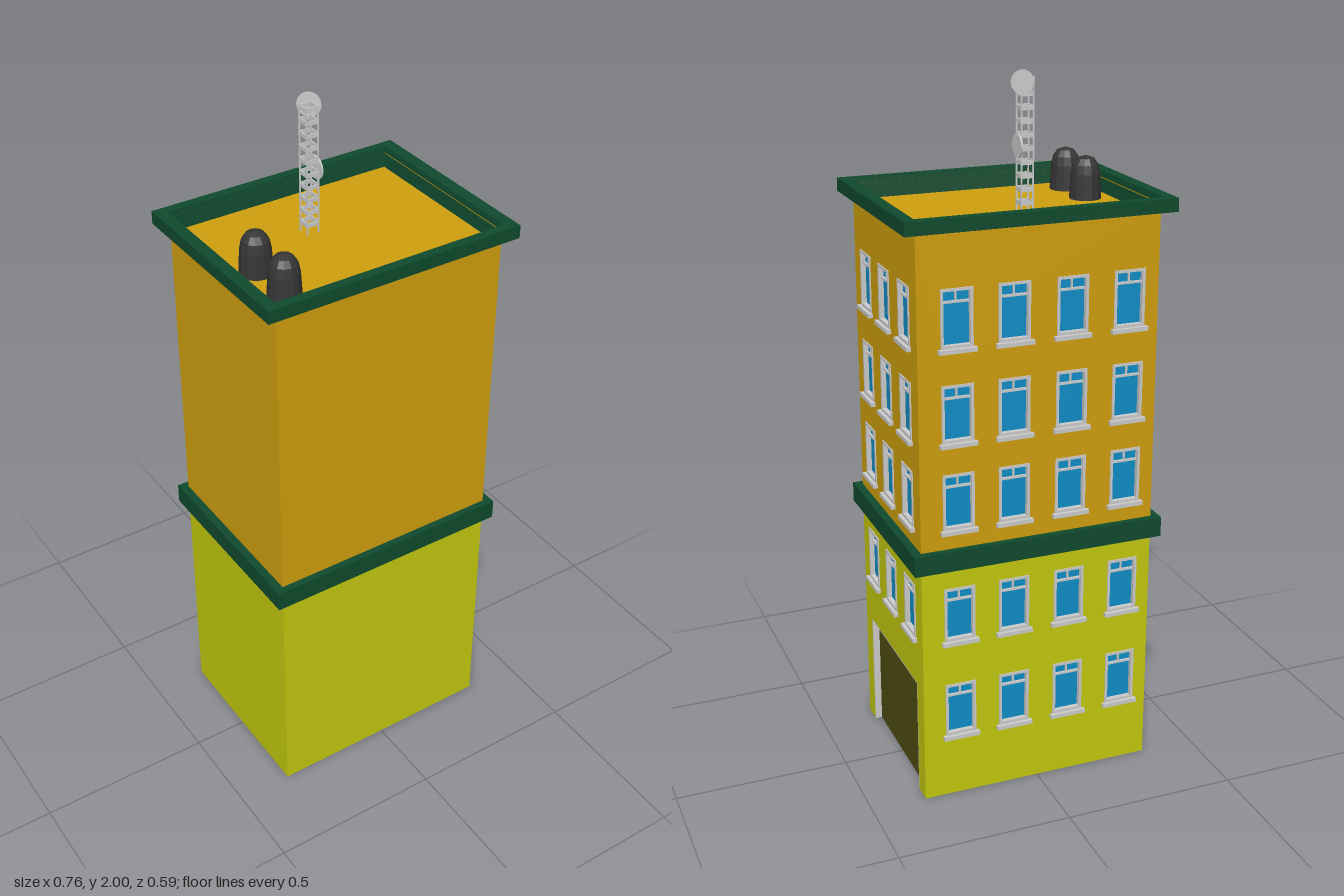
import * as THREE from 'three';

const mat = (color, flatShading = false) =>
  new THREE.MeshStandardMaterial({ color, flatShading, side: THREE.DoubleSide });
const M = {
  grey: mat(0xcccccc), lime: mat(0xc2c80e), orange: mat(0xcf9f0e), green: mat(0x104a2e),
  glass: mat(0x108ec6), door: mat(0x4e4c10), dark: mat(0x363636, true),
};
const HX = 0.342, HZ = 0.264;            // half width and depth of the walls
const FLOOR2 = 0.735, ROOF = 1.62;

function add(parent, name, geometry, material, x = 0, y = 0, z = 0) {
  const mesh = new THREE.Mesh(geometry, material);
  mesh.name = name;
  mesh.position.set(x, y, z);
  parent.add(mesh);
  return mesh;
}
const box = (w, h, d) => new THREE.BoxGeometry(w, h, d);

function rect(x0, y0, x1, y1, Type = THREE.Shape) {
  const s = new Type();
  s.moveTo(x0, y0); s.lineTo(x1, y0); s.lineTo(x1, y1); s.lineTo(x0, y1); s.closePath();
  return s;
}

// Rectangular ring extruded along +z
function ring(ox, oy, ix, iy, depth) {
  const s = rect(-ox, -oy, ox, oy);
  s.holes.push(rect(-ix, -iy, ix, iy, THREE.Path));
  return new THREE.ExtrudeGeometry(s, { depth, bevelEnabled: false });
}

// Window: recessed pane, surround, transom, short mullion and sill
const WIN_W = 0.09, WIN_H = 0.16;
function makeWindow(x, y) {
  const g = new THREE.Group();
  g.name = 'window';
  g.position.set(x, y, 0);
  const w = WIN_W / 2, h = WIN_H / 2, cy = 0.012 + h;
  add(g, 'windowFrame', ring(w, h, w - 0.008, h - 0.008, 0.018), M.grey, 0, cy, -0.015);
  add(g, 'windowPane', new THREE.PlaneGeometry(WIN_W, WIN_H), M.glass, 0, cy, -0.011);
  add(g, 'transom', box(WIN_W - 0.012, 0.006, 0.008), M.grey, 0, cy + 0.042, -0.008);
  add(g, 'mullion', box(0.005, 0.034, 0.006), M.grey, 0, cy + 0.058, -0.009);
  add(g, 'windowSill', box(0.106, 0.012, 0.026), M.grey, 0, 0.006, 0);
  return g;
}

// One side of the building, drawn flat in its own plane facing +z
function makeFacade(name, half, columns, rows, door) {
  const g = new THREE.Group();
  g.name = name;
  const lower = new THREE.Shape();
  lower.moveTo(-half, 0);
  if (door) {
    lower.lineTo(-door.half, 0); lower.lineTo(-door.half, door.top);
    lower.lineTo(door.half, door.top); lower.lineTo(door.half, 0);
  }
  lower.lineTo(half, 0); lower.lineTo(half, FLOOR2); lower.lineTo(-half, FLOOR2);
  lower.closePath();
  const upper = rect(-half, FLOOR2, half, 1.66);
  for (const y of rows) for (const x of columns) {
    const wall = y < FLOOR2 ? lower : upper, w = WIN_W / 2;
    wall.holes.push(rect(x - w, y + 0.012, x + w, y + 0.012 + WIN_H, THREE.Path));
    g.add(makeWindow(x, y));
  }
  add(g, 'lowerWall', new THREE.ShapeGeometry(lower), M.lime);
  add(g, 'upperWall', new THREE.ShapeGeometry(upper), M.orange);
  if (door) {
    const { half: d, top } = door;
    add(g, 'garageDoor', new THREE.PlaneGeometry(2 * d, top), M.door, 0, top / 2, -0.02);
    for (const s of [-1, 1]) add(g, 'doorJamb', box(0.004, top, 0.02), M.grey, s * (d - 0.002), top / 2, -0.01);
    add(g, 'doorLintel', box(2 * d, 0.004, 0.02), M.grey, 0, top - 0.002, -0.01);
  }
  return g;
}

// Lattice mast with two dishes
function makeMast() {
  const g = new THREE.Group();
  g.name = 'antennaMast';
  g.position.set(-0.0365, ROOF, -0.064);
  const r = 0.017, t = 0.004, height = 1.98 - ROOF;
  for (const x of [-r, r]) for (const z of [-r, r])
    add(g, 'mastPost', box(t, height, t), M.grey, x, height / 2, z);
  const count = 10;
  for (let i = 1; i <= count; i++) {
    const y = (i / count) * height - 0.008;
    for (const s of [-r, r]) {
      add(g, 'mastRung', box(2 * r, 0.012, 0.003), M.grey, 0, y, s);
      add(g, 'mastRung', box(0.003, 0.012, 2 * r), M.grey, s, y, 0);
    }
  }
  // Each dish faces +x, then turns by its angle
  for (const [x, y, z, turn] of [[0.0165, 1.967, -0.023, Math.PI / 4], [0.0215, 1.8, -0.001, 0]]) {
    const dish = new THREE.CylinderGeometry(0.033, 0.033, 0.005, 14).rotateZ(-Math.PI / 2).rotateY(turn);
    add(g, 'dish', dish, M.grey, x, y - ROOF, z);
  }
  return g;
}

export function createModel() {
  const model = new THREE.Group();
  model.name = 'cornerBuilding';

  // Walls: two blank sides, two with windows
  const rows = [0.475, 0.809, 1.058, 1.318];
  const front = makeFacade('frontFacade', HX, [], []);
  front.position.z = HZ;
  const left = makeFacade('leftFacade', HZ, [-0.164, -0.002, 0.164], rows, { half: 0.21, top: 0.345 });
  left.position.x = HX;
  left.rotation.y = Math.PI / 2;
  const back = makeFacade('backFacade', HX, [-0.233, -0.073, 0.092, 0.257], [0.18, ...rows]);
  back.position.z = -HZ;
  back.rotation.y = Math.PI;
  const right = makeFacade('rightFacade', HZ, [], []);
  right.position.x = -HX;
  right.rotation.y = -Math.PI / 2;
  model.add(front, left, back, right);

  // Roof deck, string course and cornice
  add(model, 'roof', new THREE.PlaneGeometry(2 * HX, 2 * HZ).rotateX(-Math.PI / 2), M.orange, 0, ROOF, 0);
  add(model, 'stringCourse', ring(0.366, 0.284, HX, HZ, 0.058).rotateX(-Math.PI / 2), M.green, 0, 0.707, 0);
  add(model, 'cornice', ring(0.379, 0.293, 0.345, 0.266, 0.037).rotateX(-Math.PI / 2), M.green, 0, 1.64, 0);

  // Sloped inner face of the parapet
  const lining = new THREE.CylinderGeometry(0.345 * Math.SQRT2, 0.336 * Math.SQRT2, 1.676 - ROOF, 4, 1, true)
    .rotateY(Math.PI / 4).scale(1, 1, 0.266 / 0.345).toNonIndexed();
  lining.computeVertexNormals();
  add(model, 'parapetLining', lining, M.green, 0, (1.676 + ROOF) / 2, 0);

  // Domed roof vents
  const profile = [[0.045, 0], [0.041, 0.07], [0.036, 0.095], [0.024, 0.112], [0, 0.12]]
    .map(([r, y]) => new THREE.Vector2(r, y));
  for (const z of [0.038, 0.174]) add(model, 'roofVent', new THREE.LatheGeometry(profile, 12), M.dark, -0.261, ROOF, z);

  model.add(makeMast());
  return model;
}
